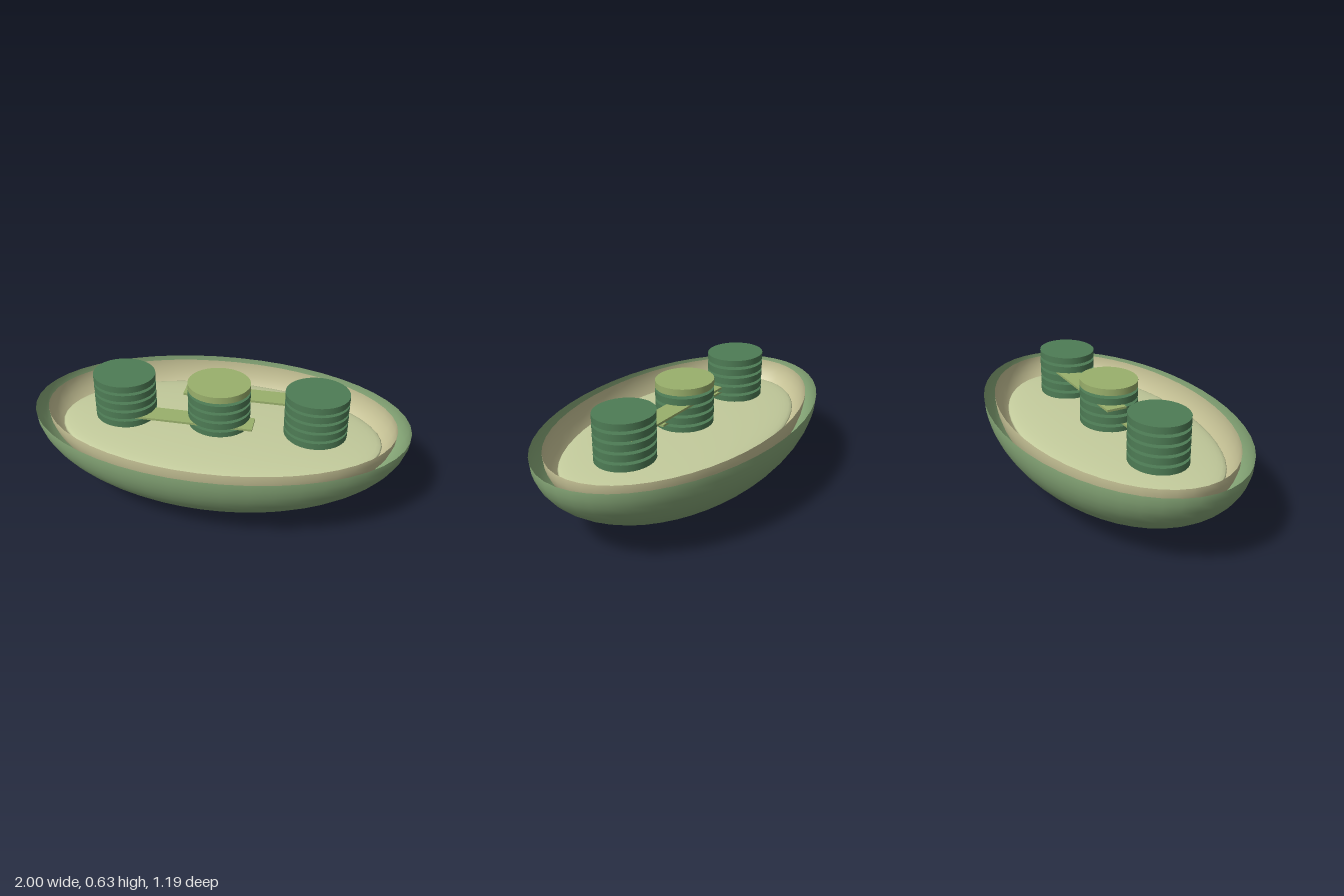
import * as THREE from 'three';

export function createModel() {
  const model = new THREE.Group();
  model.name = 'bowlWithPegs';

  const paint = (name, color, side = THREE.FrontSide) => {
    const m = new THREE.MeshStandardMaterial({ color, side });
    m.name = name;
    return m;
  };
  const shellGreen = paint('shellGreen', 0x87a878, THREE.DoubleSide);
  const liningCream = paint('liningCream', 0xc9c598, THREE.DoubleSide);
  const floorCream = paint('floorCream', 0xc3cb9c);
  const darkGreen = paint('darkGreen', 0x4e7c55);
  const lightGreen = paint('lightGreen', 0x9ab06c);

  const add = (name, geometry, material, x, y, z, parent = model) => {
    const mesh = new THREE.Mesh(geometry, material);
    mesh.name = name;
    mesh.position.set(x, y, z);
    parent.add(mesh);
    return mesh;
  };

  // Open half ellipsoids: outer shell and the lining inside it
  const halfBowl = (rx, ry, rz) =>
    new THREE.SphereGeometry(1, 48, 16, 0, Math.PI * 2, Math.PI / 2, Math.PI / 2).scale(rx, ry, rz);
  add('outerShell', halfBowl(1, 0.445, 0.597), shellGreen, 0, 0.445, 0);
  add('innerLining', halfBowl(0.93, 0.41, 0.537), liningCream, 0, 0.45, 0);

  // Gently domed floor
  add('floor', new THREE.SphereGeometry(1, 48, 24).scale(0.86, 0.05, 0.465), floorCream, 0, 0.345, 0);

  // Three stacks of oval discs with narrow gaps
  const discHeight = 0.036, discStep = 0.0527, topCentre = 0.614, discCount = 5;
  const disc = new THREE.CylinderGeometry(1, 1, discHeight, 32).scale(0.165, 1, 0.15);
  for (const [name, x] of [['rightPeg', -0.51], ['middlePeg', 0], ['leftPeg', 0.51]]) {
    const peg = new THREE.Group();
    peg.name = name;
    peg.position.x = x;
    model.add(peg);
    for (let i = 0; i < discCount; i++) {
      const isCap = x === 0 && i === 0;
      add(isCap ? 'cap' : 'disc', disc, isCap ? lightGreen : darkGreen, 0, topCentre - i * discStep, 0, peg);
    }
  }

  // Two flat strips slotted into the gaps, linking the middle peg to each side
  const strip = new THREE.BoxGeometry(0.785, 0.012, 0.108);
  add('upperStrip', strip, lightGreen, 0.2, 0.538, -0.055);
  add('lowerStrip', strip, lightGreen, -0.2, 0.43, 0.055);

  return model;
}
